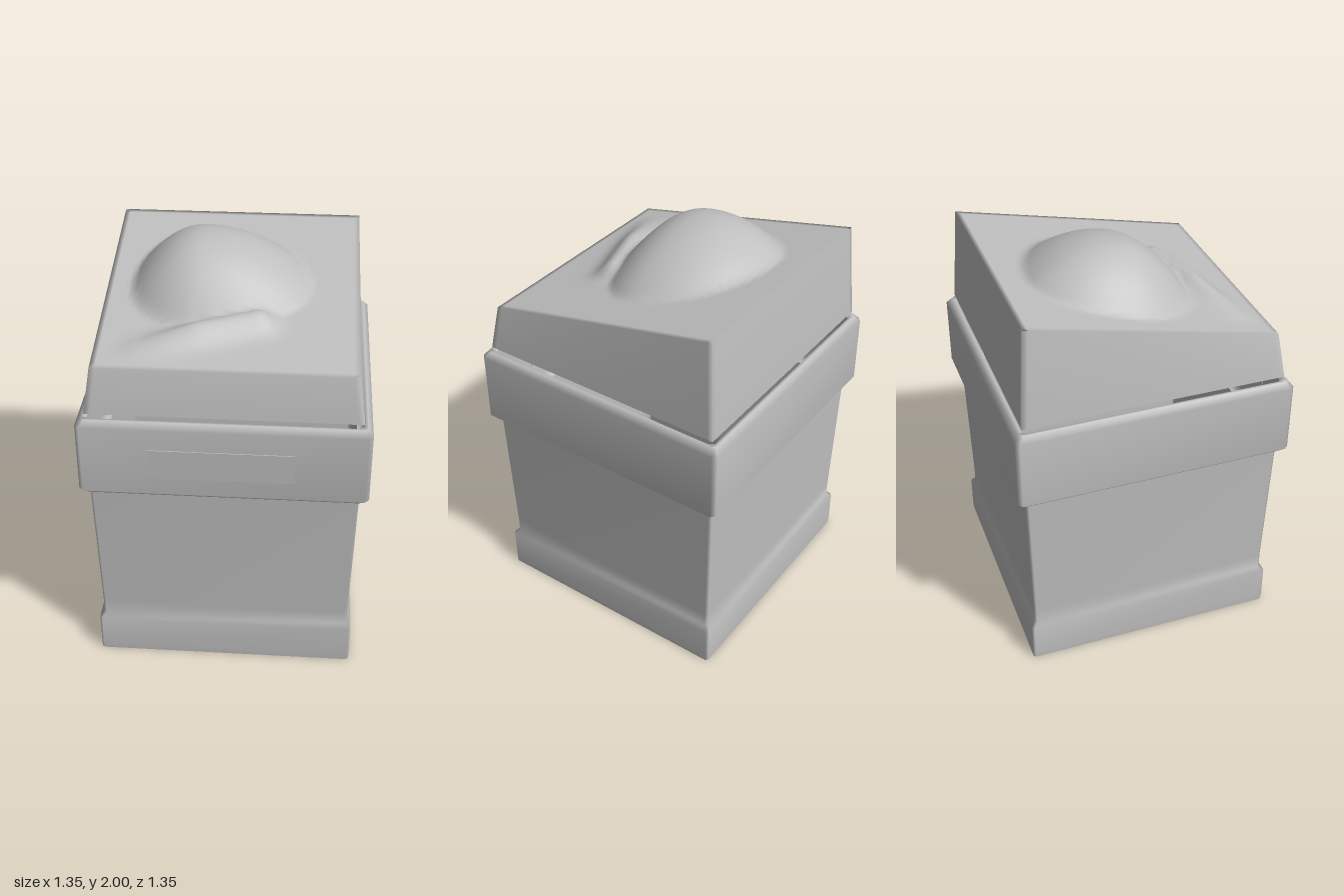
import * as THREE from 'three';
import { mergeVertices } from 'three/addons/utils/BufferGeometryUtils.js';

const grey = new THREE.MeshStandardMaterial({ color: 0xbfbfbf, side: THREE.DoubleSide });
grey.name = 'plainGrey';

// Square shell with clipped corners, lofted through [halfWidth, y] pairs.
function squareShell(profile, chamfer) {
  const pos = [], index = [], n = 8;
  for (const [h, y] of profile) {
    const c = h - chamfer;
    for (const [x, z] of [[c, h], [h, c], [h, -c], [c, -h], [-c, -h], [-h, -c], [-h, c], [-c, h]]) pos.push(x, y, z);
  }
  for (let r = 0; r < profile.length - 1; r++) {
    for (let i = 0; i < n; i++) {
      const a = r * n + i, b = r * n + (i + 1) % n;
      index.push(a, b, b + n, a, b + n, a + n);
    }
  }
  const g = new THREE.BufferGeometry();
  g.setAttribute('position', new THREE.Float32BufferAttribute(pos, 3));
  g.setIndex(index);
  g.computeVertexNormals();
  return g;
}

// One side of a bump: 1 at the centre, falling to 0 at its own radius each way.
const side = (d, minus, plus) => (d / (d < 0 ? minus : plus)) ** 2;

// Height of the heaped filling above its tilted square edge.
function heap(x, z) {
  const fade = Math.min(1, (0.6 - Math.max(Math.abs(x), Math.abs(z))) / 0.08);
  const mound = 0.222 * Math.max(0, 1 - side(x + 0.15, 0.33, 0.52) - side(z, 0.45, 0.32));
  // Slanted lip in front of the mound
  const ax = -0.4, az = 0.46, dx = 0.54, dz = -0.19;
  const t = Math.min(1, Math.max(0, ((x - ax) * dx + (z - az) * dz) / (dx * dx + dz * dz)));
  const d = Math.hypot(x - ax - t * dx, z - az - t * dz);
  const lip = 0.07 * Math.min(1, 0.25 + t * 1.6) * Math.exp(-((d / 0.07) ** 2));
  return Math.max(0, fade) * Math.max(mound, lip);
}

// Filling: grid whose outermost ring drops down to form the four walls.
function fillingGeometry() {
  const n = 50;
  const g = new THREE.PlaneGeometry(2, 2, n, n);
  g.rotateX(-Math.PI / 2);
  const p = g.attributes.position;
  const inner = 1 - 2 / n;
  for (let i = 0; i < p.count; i++) {
    const u = p.getX(i), v = p.getZ(i);
    const x = THREE.MathUtils.clamp(u / inner, -1, 1) * 0.6;
    const z = THREE.MathUtils.clamp(v / inner, -1, 1) * 0.6;
    if (Math.max(Math.abs(u), Math.abs(v)) > 0.999) p.setXYZ(i, x * 1.055, 1.42, z * 1.055);
    else p.setXYZ(i, x, 1.64 + (0.6 - z) * 0.217 + heap(x, z), z);
  }
  g.deleteAttribute('uv');
  g.deleteAttribute('normal');
  const m = mergeVertices(g, 1e-4);
  m.computeVertexNormals();
  return m;
}

export function createModel() {
  const group = new THREE.Group();
  group.name = 'bin';
  const add = (name, geometry) => {
    const mesh = new THREE.Mesh(geometry, grey);
    mesh.name = name;
    group.add(mesh);
    return mesh;
  };

  // Hollow body with its foot band, open underneath
  add('body', squareShell([[0.63, 0], [0.632, 0.03], [0.632, 0.2], [0.612, 0.225], [0.612, 0.3], [0.63, 1.0]], 0.012));

  // Bevelled collar
  add('collar', squareShell([[0.63, 1.0], [0.648, 1.0], [0.674, 1.025], [0.674, 1.37], [0.65, 1.4], [0.635, 1.4], [0.625, 1.385]], 0.02));

  // Thin blank plate on the collar front
  add('frontPlate', new THREE.BoxGeometry(0.68, 0.15, 0.007)).position.set(-0.01, 1.19, 0.675);

  // Heaped top
  add('filling', fillingGeometry());

  return group;
}
